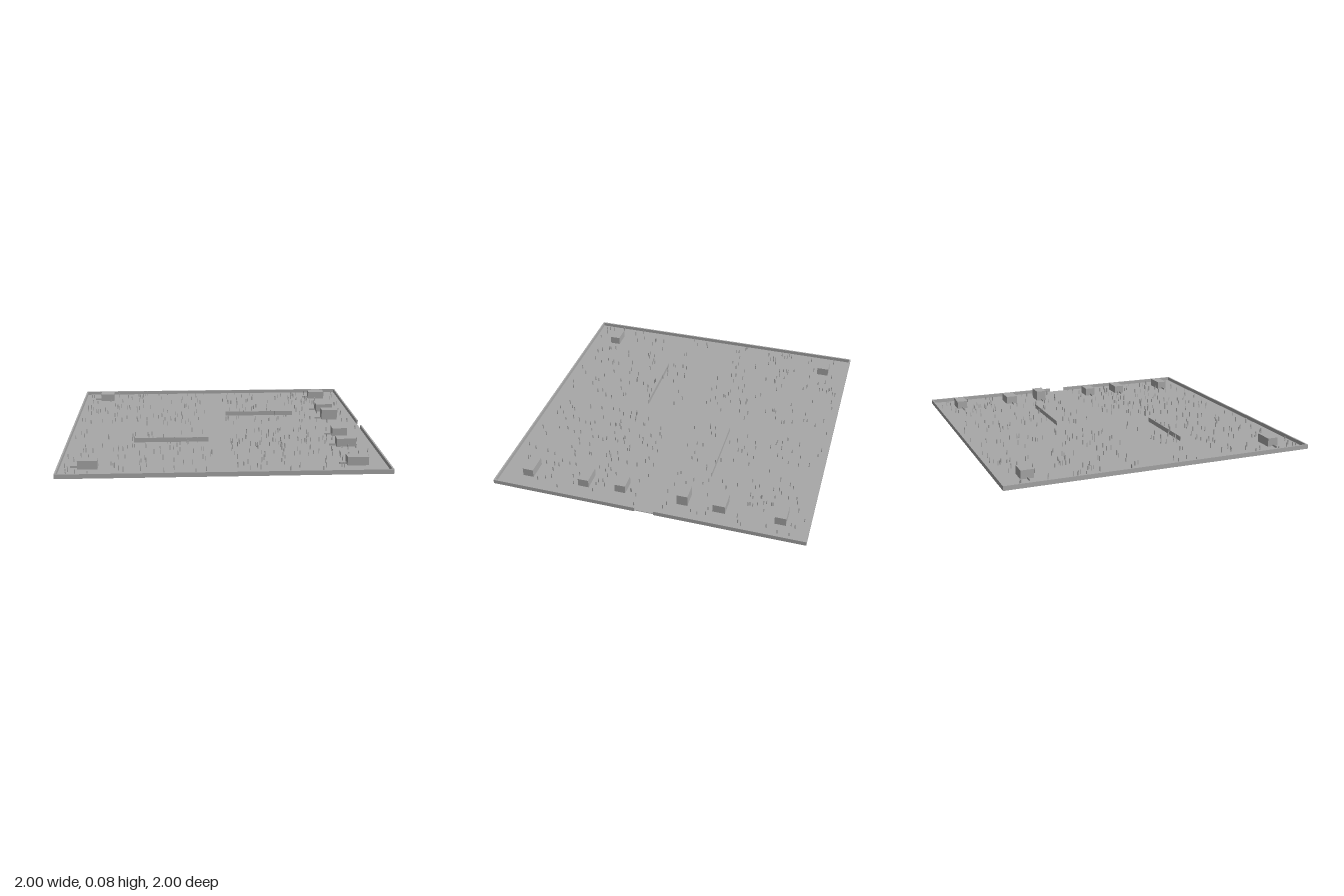
import * as THREE from 'three';
import { mergeGeometries } from 'three/addons/utils/BufferGeometryUtils.js';

export function createModel() {
  const group = new THREE.Group();
  const stone = new THREE.MeshStandardMaterial({ color: 0xa8a8a8 });
  stone.name = 'stone grey';

  // Box standing on height y0, centred on x and z
  const block = (w, h, d, x, z, y0 = 0) =>
    new THREE.BoxGeometry(w, h, d).translate(x, y0 + h / 2, z);
  const add = (name, geometries) => {
    const mesh = new THREE.Mesh(mergeGeometries(geometries), stone);
    mesh.name = name;
    group.add(mesh);
  };

  // Ground slab
  const top = 0.004;
  add('ground', [block(1.985, top, 1.985, 0, 0)]);

  // Perimeter wall, with a gateway in the middle of the +x side
  const t = 0.01, h = 0.028, gate = 0.06, e = 1 - t / 2;
  add('perimeterWall', [
    block(2, h, t, 0, e),
    block(2, h, t, 0, -e),
    block(t, h, 2 - 2 * t, -e, 0),
    ...[1, -1].map(s => block(t, h, 1 - t - gate, e, s * (1 - t + gate) / 2)),
  ]);

  // Buildings: x, z, width, depth, height; each has a low wall on its -x side
  const buildings = [
    [-0.82, -0.82, 0.10, 0.08, 0.058],
    [-0.82, 0.815, 0.12, 0.07, 0.058],
    [0.815, -0.82, 0.12, 0.07, 0.058],
    [0.815, -0.44, 0.12, 0.08, 0.058],
    [0.815, -0.205, 0.11, 0.07, 0.075],
    [0.815, 0.20, 0.10, 0.07, 0.058],
    [0.815, 0.44, 0.125, 0.07, 0.058],
    [0.815, 0.815, 0.13, 0.07, 0.058],
  ];
  for (const [x, z, w, d, height] of buildings) {
    add('building', [block(w, height, d, x, z)]);
    add('lowWall', [block(0.045, 0.012, 0.003, x - w / 2 - 0.0225, z, top)]);
  }

  // Two long thin screens, placed point-symmetrically
  for (const s of [1, -1]) {
    add('screen', [block(0.49, 0.034, 0.003, -0.32 * s, 0.315 * s)]);
  }

  // Scattered posts, kept clear of the central lanes and the buildings
  let seed = 7;
  const random = () => (seed = (seed * 16807) % 2147483647) / 2147483647;
  const posts = [];
  while (posts.length < 420) {
    const x = (random() * 2 - 1) * 0.96, z = (random() * 2 - 1) * 0.96;
    const height = 0.028 + random() * 0.01;
    const blocked = Math.abs(x) < 0.06 || Math.abs(z) < 0.07 ||
      buildings.some(b => Math.abs(x - b[0]) < 0.12 && Math.abs(z - b[1]) < 0.06);
    if (!blocked) posts.push(block(0.005, height, 0.005, x, z));
  }
  add('posts', posts);

  return group;
}
